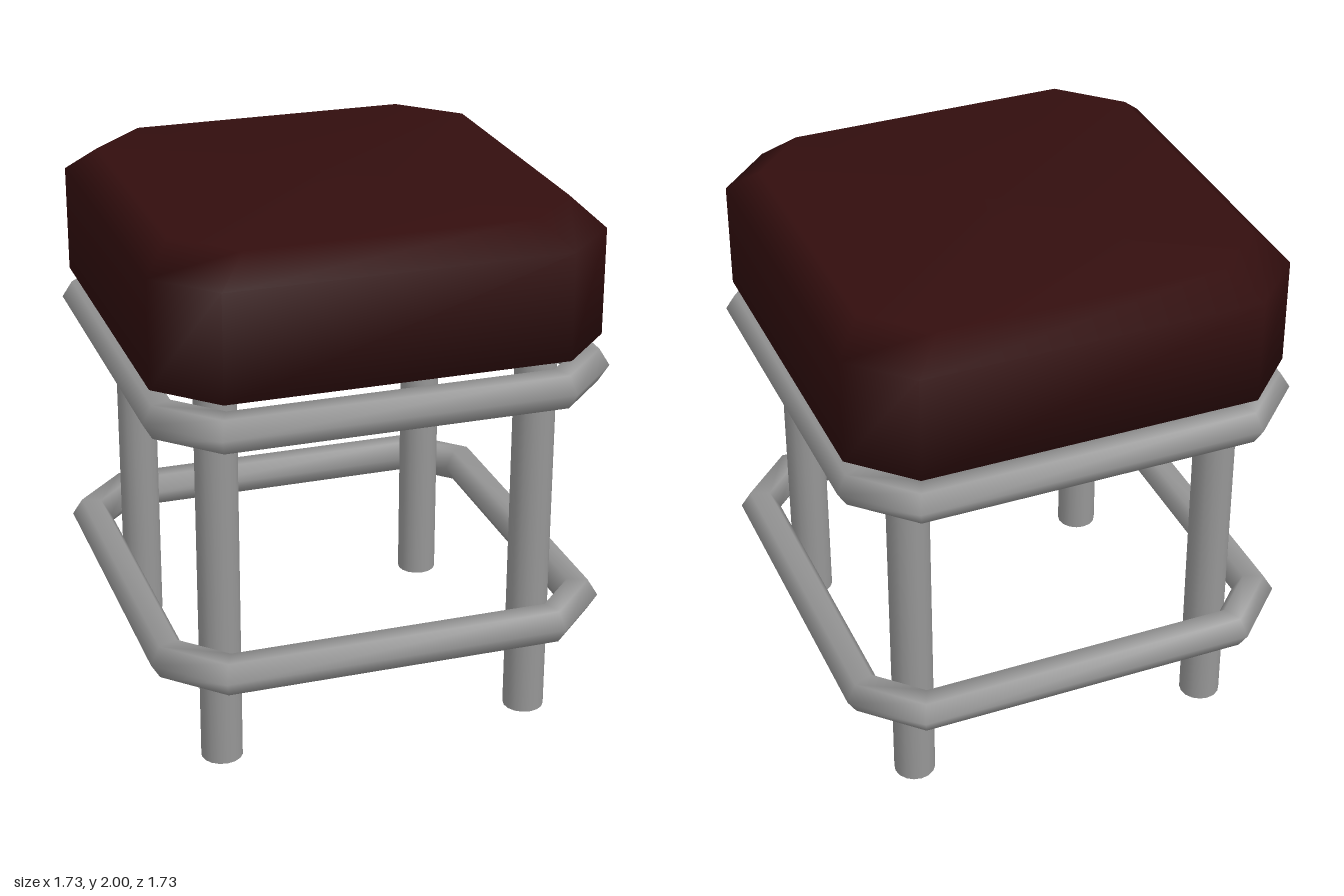
import * as THREE from 'three';

const vinyl = new THREE.MeshStandardMaterial({ color: 0x330e0e });
vinyl.name = 'dark red vinyl';
const steel = new THREE.MeshStandardMaterial({ color: 0x969696, side: THREE.DoubleSide });
steel.name = 'grey steel';

// Square loop with cut corners: h = half width, t = where the corner cut starts
function octagon(h, t, y) {
  return [[h, t], [h, -t], [t, -h], [-t, -h], [-h, -t], [-h, t], [-t, h], [t, h]]
    .map(([x, z]) => [x, y, z]);
}

// Skin a stack of loops with smooth normals; closed joins the last loop to the first
function loft(loops, closed = false) {
  const n = loops[0].length, m = loops.length, index = [];
  for (let k = 0; k < (closed ? m : m - 1); k++) {
    for (let i = 0; i < n; i++) {
      const j = (i + 1) % n, k2 = (k + 1) % m;
      const a = k * n + i, b = k * n + j, c = k2 * n + j, d = k2 * n + i;
      index.push(a, b, c, a, c, d);
    }
  }
  const geometry = new THREE.BufferGeometry();
  geometry.setAttribute('position', new THREE.Float32BufferAttribute(loops.flat(2), 3));
  geometry.setIndex(index);
  geometry.computeVertexNormals();
  return geometry;
}

export function createModel() {
  const model = new THREE.Group();
  model.name = 'stool';
  const add = (name, geometry, material, x = 0, y = 0, z = 0) => {
    const mesh = new THREE.Mesh(geometry, material);
    mesh.name = name;
    mesh.position.set(x, y, z);
    model.add(mesh);
  };

  // Thick cushion with bevelled top edge
  add('cushion', loft([
    octagon(0, 0, 1.5),
    octagon(0.835, 0.63, 1.5),
    octagon(0.835, 0.63, 1.9),
    octagon(0.73, 0.525, 2),
    octagon(0, 0, 2),
  ]), vinyl);

  // Six-sided tube bent round an octagon, mitred at the corners
  const r = 0.072, miter = Math.tan(Math.PI / 8);
  const tube = loft(Array.from({ length: 6 }, (_, k) => {
    const a = k * Math.PI / 3, out = r * Math.cos(a);
    return octagon(0.793 + out, 0.615 + miter * out, r * Math.sin(a));
  }), true);
  add('seatRing', tube, steel, 0, 1.38, 0);
  add('footRing', tube, steel, 0, 0.443, 0);

  // Four open tubular legs
  const leg = new THREE.CylinderGeometry(0.077, 0.077, 1.5, 16, 1, true);
  for (const x of [-1, 1]) {
    for (const z of [-1, 1]) {
      add(`${z > 0 ? 'front' : 'back'}${x > 0 ? 'Left' : 'Right'}Leg`, leg, steel, x * 0.597, 0.75, z * 0.597);
    }
  }
  return model;
}
